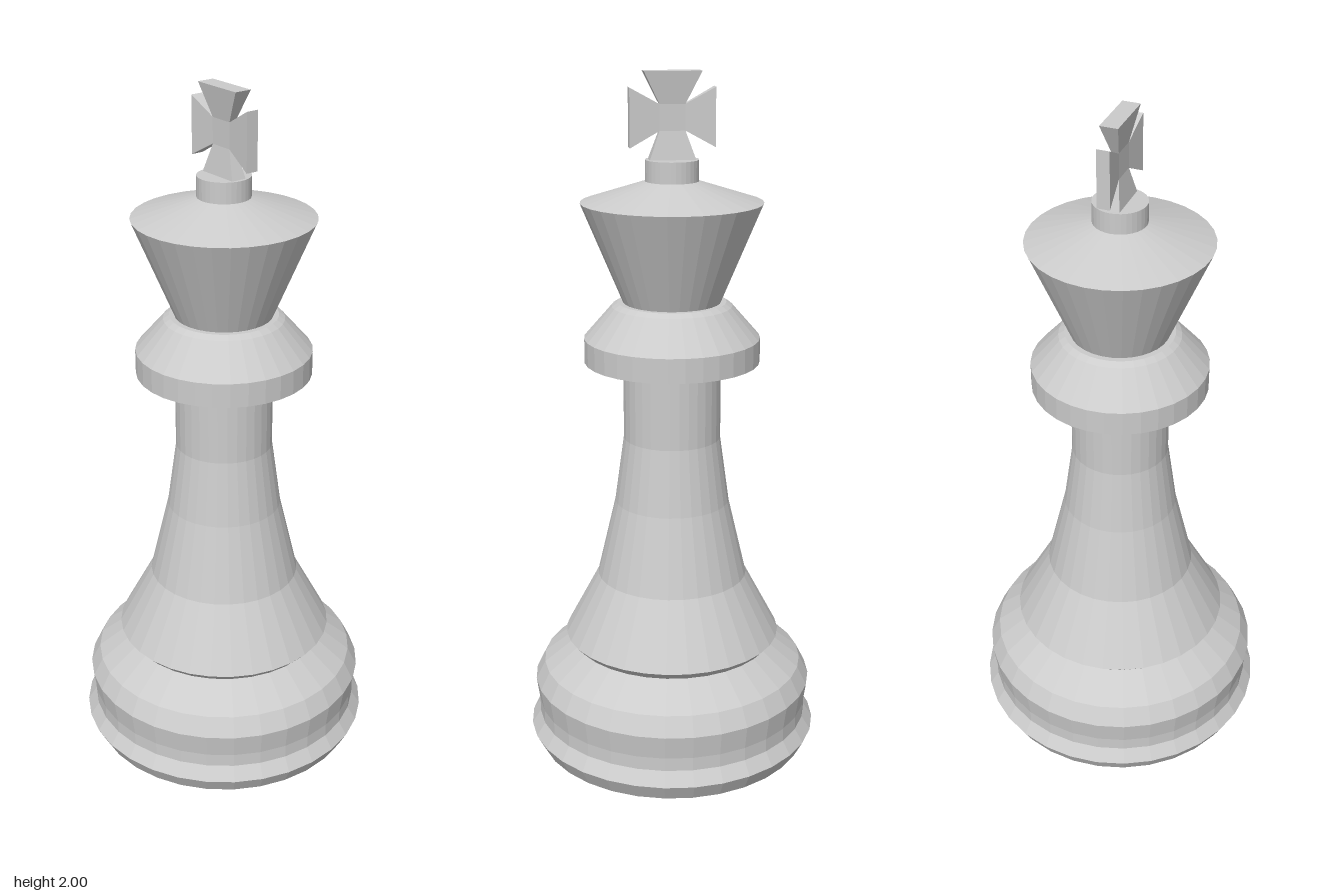
import * as THREE from 'three';

const material = new THREE.MeshStandardMaterial({ color: 0xcccccc, flatShading: true });

// Turned part: [radius, height] pairs listed from bottom to top
function turned(name, profile) {
  const points = profile.map(([r, y]) => new THREE.Vector2(r, y));
  const mesh = new THREE.Mesh(new THREE.LatheGeometry(points, 32), material);
  mesh.name = name;
  return mesh;
}

// Cross arm: a box flaring in width and depth towards its outer end
function crossArm(name, angle, length, halfWidth, halfDepth) {
  const core = 0.036;
  const geometry = new THREE.BoxGeometry(2, 1, 2);
  const p = geometry.attributes.position;
  for (let i = 0; i < p.count; i++) {
    const outer = p.getY(i) > 0;
    p.setXYZ(
      i,
      p.getX(i) * (outer ? halfWidth : core),
      outer ? length : core,
      p.getZ(i) * (outer ? halfDepth : 0.01)
    );
  }
  geometry.computeVertexNormals();
  const mesh = new THREE.Mesh(geometry, material);
  mesh.rotation.z = angle;
  mesh.name = name;
  return mesh;
}

export function createModel() {
  const model = new THREE.Group();
  model.name = 'chessKing';

  model.add(
    // Wide foot with waist and rounded shoulder
    turned('base', [
      [0, 0], [0.408, 0], [0.434, 0.05], [0.408, 0.09], [0.408, 0.13],
      [0.418, 0.2], [0.39, 0.255], [0.3, 0.325],
    ]),
    // Rim and tapering column
    turned('stem', [
      [0.3, 0.325], [0.321, 0.348], [0.222, 0.535], [0.168, 0.765],
      [0.141, 0.96], [0.141, 1.18],
    ]),
    // Collar under the crown
    turned('collar', [
      [0.14, 1.175], [0.252, 1.19], [0.252, 1.26], [0.172, 1.352], [0.155, 1.363], [0.13, 1.363],
    ]),
    // Flared crown with a shallow conical top
    turned('crown', [[0.138, 1.36], [0.257, 1.645], [0.075, 1.703]]),
    // Small drum carrying the cross
    turned('crossBase', [[0.075, 1.7], [0.075, 1.762], [0, 1.762]])
  );

  // Cross with four flared arms
  const cross = new THREE.Group();
  cross.name = 'cross';
  cross.position.y = 1.876;
  const core = new THREE.Mesh(new THREE.BoxGeometry(0.072, 0.072, 0.02), material);
  core.name = 'crossCentre';
  cross.add(
    core,
    crossArm('topArm', 0, 0.124, 0.08, 0.025),
    crossArm('rightArm', -Math.PI / 2, 0.119, 0.081, 0.018),
    crossArm('leftArm', Math.PI / 2, 0.119, 0.081, 0.018),
    crossArm('bottomArm', Math.PI, 0.116, 0.065, 0.023)
  );
  // Name the side arms from the model's own point of view
  cross.children[2].name = 'leftArm';
  cross.children[3].name = 'rightArm';
  model.add(cross);

  return model;
}
